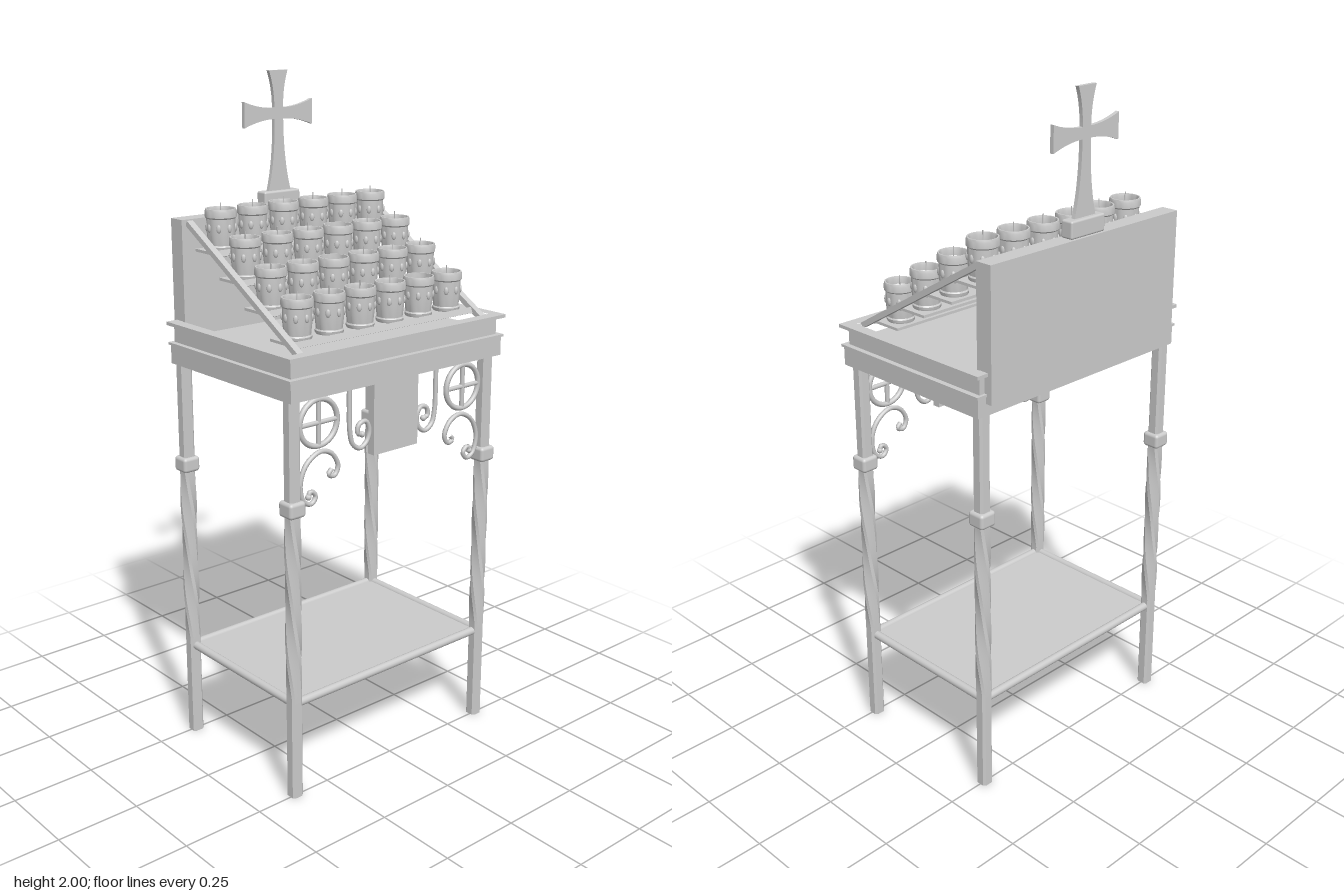
import * as THREE from 'three';
import { toCreasedNormals } from 'three/addons/utils/BufferGeometryUtils.js';
import { RoundedBoxGeometry } from 'three/addons/geometries/RoundedBoxGeometry.js';

const mat = new THREE.MeshStandardMaterial({ color: 0xcccccc });
const matDouble = new THREE.MeshStandardMaterial({ color: 0xcccccc, side: THREE.DoubleSide });

function add(parent, name, geometry, x = 0, y = 0, z = 0, material = mat) {
  const mesh = new THREE.Mesh(geometry, material);
  mesh.name = name;
  mesh.position.set(x, y, z);
  parent.add(mesh);
  return mesh;
}

// Box given by its limits on each axis
function box(parent, name, x0, x1, y0, y1, z0, z1) {
  return add(parent, name, new THREE.BoxGeometry(x1 - x0, y1 - y0, z1 - z0),
    (x0 + x1) / 2, (y0 + y1) / 2, (z0 + z1) / 2);
}

// Bent iron bar through points in the front plane
function bar(points, radius = 0.007) {
  const curve = new THREE.CatmullRomCurve3(points.map(([x, y]) => new THREE.Vector3(x, y, 0)));
  return new THREE.TubeGeometry(curve, 56, radius, 8);
}

// Chamfered square post whose middle part is twisted by half a turn
function legGeometry(height) {
  const h = 0.0185, c = 0.012;
  const s = new THREE.Shape([[h, -c], [h, c], [c, h], [-c, h], [-h, c], [-h, -c], [-c, -h], [c, -h]]
    .map(([x, y]) => new THREE.Vector2(x, y)));
  const g = new THREE.ExtrudeGeometry(s, { depth: height, steps: 64, bevelEnabled: false });
  g.rotateX(-Math.PI / 2);
  const p = g.attributes.position;
  for (let i = 0; i < p.count; i++) {
    const t = THREE.MathUtils.clamp((p.getY(i) - 0.32) / 0.54, 0, 1);
    const a = t * Math.PI, x = p.getX(i), z = p.getZ(i);
    const k = 1 + 0.14 * Math.sin(t * Math.PI * 2) ** 2;
    p.setX(i, k * (x * Math.cos(a) - z * Math.sin(a)));
    p.setZ(i, k * (x * Math.sin(a) + z * Math.cos(a)));
  }
  return toCreasedNormals(g, 0.5);
}

// Cup turned from its outer wall, rim and inside
function cupGeometry(inside) {
  const outer = [[0, 0], [0.038, 0], [0.04, 0.004], [0.04, 0.01], [0.037, 0.014], [0.041, 0.05],
    [0.041, 0.088], [0.045, 0.092], [0.045, 0.108], [0.043, 0.115], [0.039, 0.115]];
  const g = new THREE.LatheGeometry([...outer, ...inside].map(([x, y]) => new THREE.Vector2(x, y)), 28);
  return toCreasedNormals(g, 0.6);
}

// Cross with four flared arms
function crossGeometry() {
  const s = new THREE.Shape();
  const cy = 1.878, w = 0.016;
  s.moveTo(-0.042, 1.65);
  s.lineTo(0.042, 1.65);
  s.quadraticCurveTo(w, 1.74, w, cy - w);
  s.quadraticCurveTo(0.07, cy - w, 0.125, cy - 0.037);
  s.lineTo(0.125, cy + 0.037);
  s.quadraticCurveTo(0.07, cy + w, w, cy + w);
  s.quadraticCurveTo(w, 1.95, 0.034, 2);
  s.lineTo(-0.034, 2);
  s.quadraticCurveTo(-w, 1.95, -w, cy + w);
  s.quadraticCurveTo(-0.07, cy + w, -0.125, cy + 0.037);
  s.lineTo(-0.125, cy - 0.037);
  s.quadraticCurveTo(-0.07, cy - w, -w, cy - w);
  s.quadraticCurveTo(-w, 1.74, -0.042, 1.65);
  return new THREE.ExtrudeGeometry(s, { depth: 0.012, bevelEnabled: false, curveSegments: 10 });
}

function rectangle(T, x, z0, z1) {
  return new T([[-x, z0], [x, z0], [x, z1], [-x, z1]].map(([a, b]) => new THREE.Vector2(a, -b)));
}

// Flat rectangular ring with its top at y1
function frame(parent, name, x, z0, z1, ix, iz0, iz1, y0, y1) {
  const s = rectangle(THREE.Shape, x, z0, z1);
  s.holes.push(rectangle(THREE.Path, ix, iz0, iz1));
  const g = new THREE.ExtrudeGeometry(s, { depth: y1 - y0, bevelEnabled: false });
  g.rotateX(-Math.PI / 2);
  add(parent, name, g, 0, y0, 0);
}

export function createModel() {
  const model = new THREE.Group();
  model.name = 'candleStand';

  // Legs with collars
  const legX = 0.368, legF = 0.247, legB = -0.25;
  const leg = legGeometry(1.2);
  const collar = new RoundedBoxGeometry(0.056, 0.046, 0.056, 2, 0.01);
  for (const x of [-legX, legX]) for (const z of [legF, legB]) {
    add(model, 'leg', leg, x, 0, z);
    add(model, 'legCollar', collar, x, 0.883, z);
  }

  // Lower shelf with round stretchers
  for (const z of [legF, legB])
    add(model, 'stretcher', new THREE.CylinderGeometry(0.0125, 0.0125, 2 * legX, 14), 0, 0.293, z).rotation.z = Math.PI / 2;
  for (const x of [-legX, legX])
    add(model, 'sideStretcher', new THREE.CylinderGeometry(0.0125, 0.0125, legF - legB, 14), x, 0.293, 0).rotation.x = Math.PI / 2;
  box(model, 'lowerShelf', -legX, legX, 0.289, 0.297, legB, legF);

  // Tray: apron, upper wall, thin lip and sunken floor
  box(model, 'apron', -0.397, 0.397, 1.19, 1.25, -0.27, 0.282);
  box(model, 'trayFloor', -0.375, 0.375, 1.24, 1.27, -0.26, 0.26);
  frame(model, 'trayWall', 0.387, -0.265, 0.27, 0.37, -0.25, 0.255, 1.25, 1.305);
  frame(model, 'trayLip', 0.405, -0.277, 0.29, 0.37, -0.25, 0.255, 1.303, 1.313);
  frame(model, 'apronLip', 0.403, -0.274, 0.287, 0.37, -0.25, 0.255, 1.246, 1.253);

  // Back panel and cross
  box(model, 'backPanel', -0.368, 0.368, 1.225, 1.605, -0.29, -0.237);
  add(model, 'crossBase', new RoundedBoxGeometry(0.132, 0.05, 0.04, 2, 0.006), 0, 1.63, -0.265);
  add(model, 'cross', crossGeometry(), 0, 0, -0.271);

  // Sloping side rails of the rack
  const dz = 0.49, dy = 0.29, slope = Math.atan2(dy, dz);
  for (const x of [-0.343, 0.343])
    add(model, 'rackRail', new THREE.BoxGeometry(0.02, 0.016, Math.hypot(dy, dz)), x, 1.45, 0.008).rotation.x = slope;

  // Cups: most hold wax and a wick, a few are empty
  const full = cupGeometry([[0.037, 0.108], [0.037, 0.094], [0.034, 0.09], [0.02, 0.088], [0, 0.088]]);
  const empty = cupGeometry([[0.038, 0.1], [0.037, 0.06], [0.03, 0.03], [0.016, 0.016], [0, 0.012]]);
  const wick = new THREE.CylinderGeometry(0.0015, 0.0015, 0.045, 6);
  const drop = new THREE.SphereGeometry(0.007, 8, 6).scale(1, 1.7, 0.6);
  const emptyCups = ['1,3', '2,2', '3,4'];
  for (let row = 0; row < 4; row++) {
    const z = -0.17 + row * 0.1125, y = 1.523 - row * 0.0658;
    box(model, 'rackStep', -0.335, 0.335, y - 0.008, y, z - 0.05, z + 0.046);
    add(model, 'rackStepEdge', new THREE.BoxGeometry(0.67, 0.018, 0.008), 0, y - 0.002, z + 0.05).rotation.x = -0.35;
    for (let col = 0; col < 6; col++) {
      const cup = new THREE.Group();
      cup.name = 'candleCup';
      cup.position.set(-0.281 + col * 0.112, y, z);
      model.add(cup);
      const isEmpty = emptyCups.includes(`${row},${col}`);
      add(cup, 'cup', isEmpty ? empty : full, 0, 0, 0, matDouble);
      if (!isEmpty) add(cup, 'wick', wick, 0, 0.108, 0);
      for (let i = 0; i < 8; i++) {
        const a = i * Math.PI / 4;
        add(cup, 'cupOrnament', drop, 0.041 * Math.sin(a), 0.062, 0.041 * Math.cos(a)).rotation.y = a;
      }
    }
  }

  // Hanging front plate
  const front = 0.247;
  box(model, 'frontPlate', -0.084, 0.084, 0.975, 1.2, front - 0.012, front + 0.012);

  // Ironwork, the same on both sides
  const hook = [[0.165, 1.2], [0.165, 1.13], [0.163, 1.06], [0.152, 1.02], [0.125, 1.003], [0.1, 1.018],
    [0.091, 1.05], [0.105, 1.078], [0.13, 1.072], [0.134, 1.048], [0.118, 1.042]];
  const scroll = [[0.228, 0.966], [0.24, 0.952], [0.22, 0.944], [0.206, 0.97], [0.228, 1.01], [0.27, 1.024],
    [0.318, 0.997], [0.34, 0.944], [0.328, 0.893], [0.302, 0.88], [0.286, 0.9], [0.304, 0.917], [0.312, 0.902]];
  for (const side of [-1, 1]) {
    const mirror = (pts) => pts.map(([x, y]) => [x * side, y]);
    const iron = new THREE.Group();
    iron.name = 'ironwork';
    iron.position.z = front;
    model.add(iron);
    add(iron, 'hookScroll', bar(mirror(hook)));
    add(iron, 'cornerScroll', bar(mirror(scroll)));
    for (const pts of [hook, scroll]) {
      const [x, y] = pts[pts.length - 1];
      add(iron, 'scrollTip', new THREE.SphereGeometry(0.009, 10, 8), x * side, y, 0);
    }
    add(iron, 'ring', new THREE.TorusGeometry(0.066, 0.008, 8, 36), side * 0.275, 1.108, 0);
    for (const turn of [0, Math.PI / 2])
      add(iron, 'ringSpoke', new THREE.CylinderGeometry(0.007, 0.007, 0.132, 8), side * 0.275, 1.108, 0).rotation.z = turn;
  }
  return model;
}
